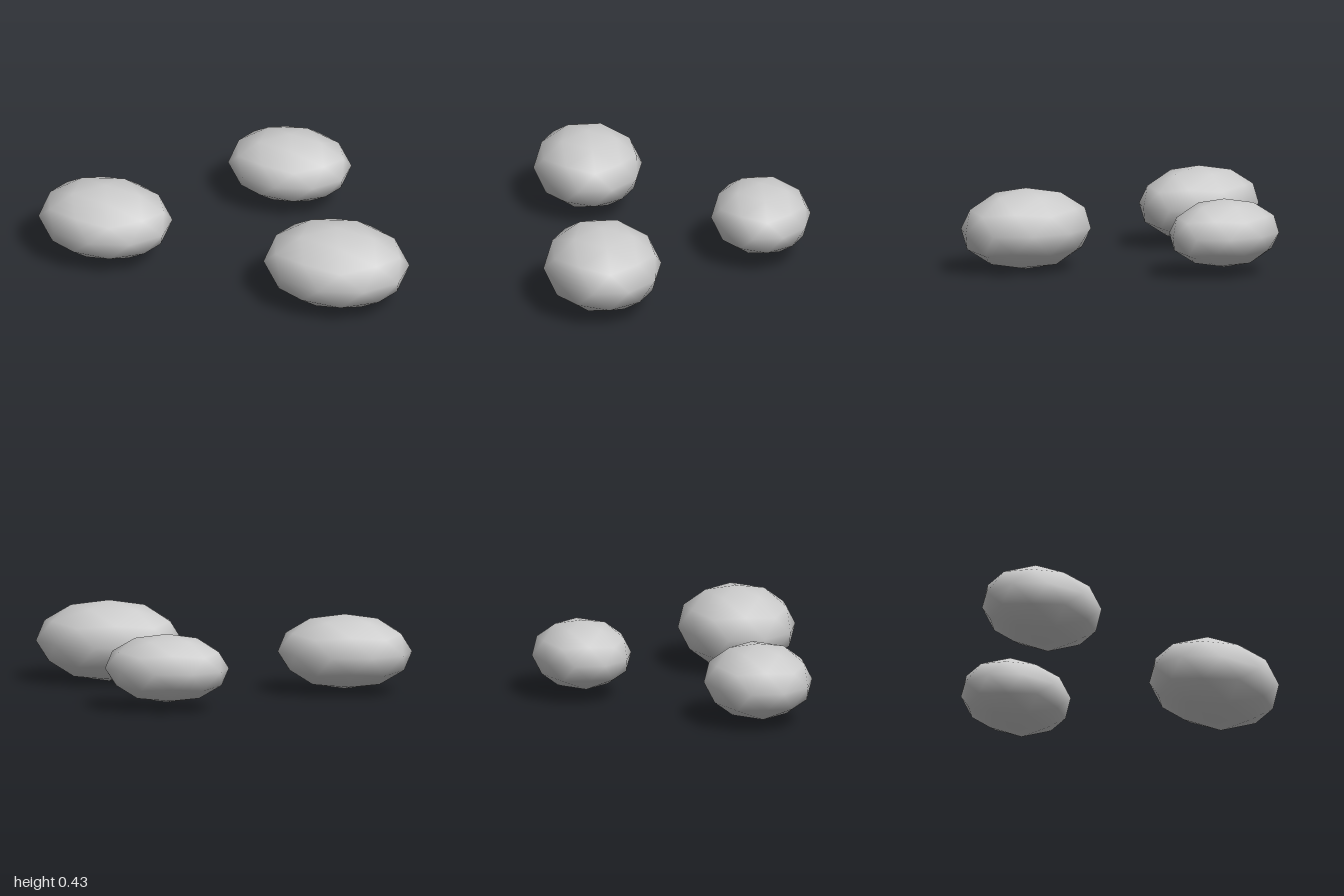
import * as THREE from 'three';

export function createModel() {
  const model = new THREE.Group();
  model.name = 'pebbles';

  const stone = new THREE.MeshStandardMaterial({ color: 0xcccccc });
  stone.name = 'stone grey';

  // Smooth-shaded icosphere turned so one corner points straight up
  const geometry = new THREE.IcosahedronGeometry(1, 1);
  geometry.rotateZ(-Math.atan(2 / (1 + Math.sqrt(5))));

  // Flattened pebbles: name, centre, radii
  const pebbles = [
    ['largePebble', [0.63, 0.215, 0.425], [0.389, 0.214, 0.31]],
    ['mediumPebble', [-0.66, 0.216, 0.347], [0.357, 0.197, 0.286]],
    ['smallPebble', [0.088, 0.217, -0.473], [0.329, 0.18, 0.262]],
  ];
  for (const [name, centre, radii] of pebbles) {
    const pebble = new THREE.Mesh(geometry, stone);
    pebble.name = name;
    pebble.position.set(...centre);
    pebble.scale.set(...radii);
    model.add(pebble);
  }
  return model;
}
